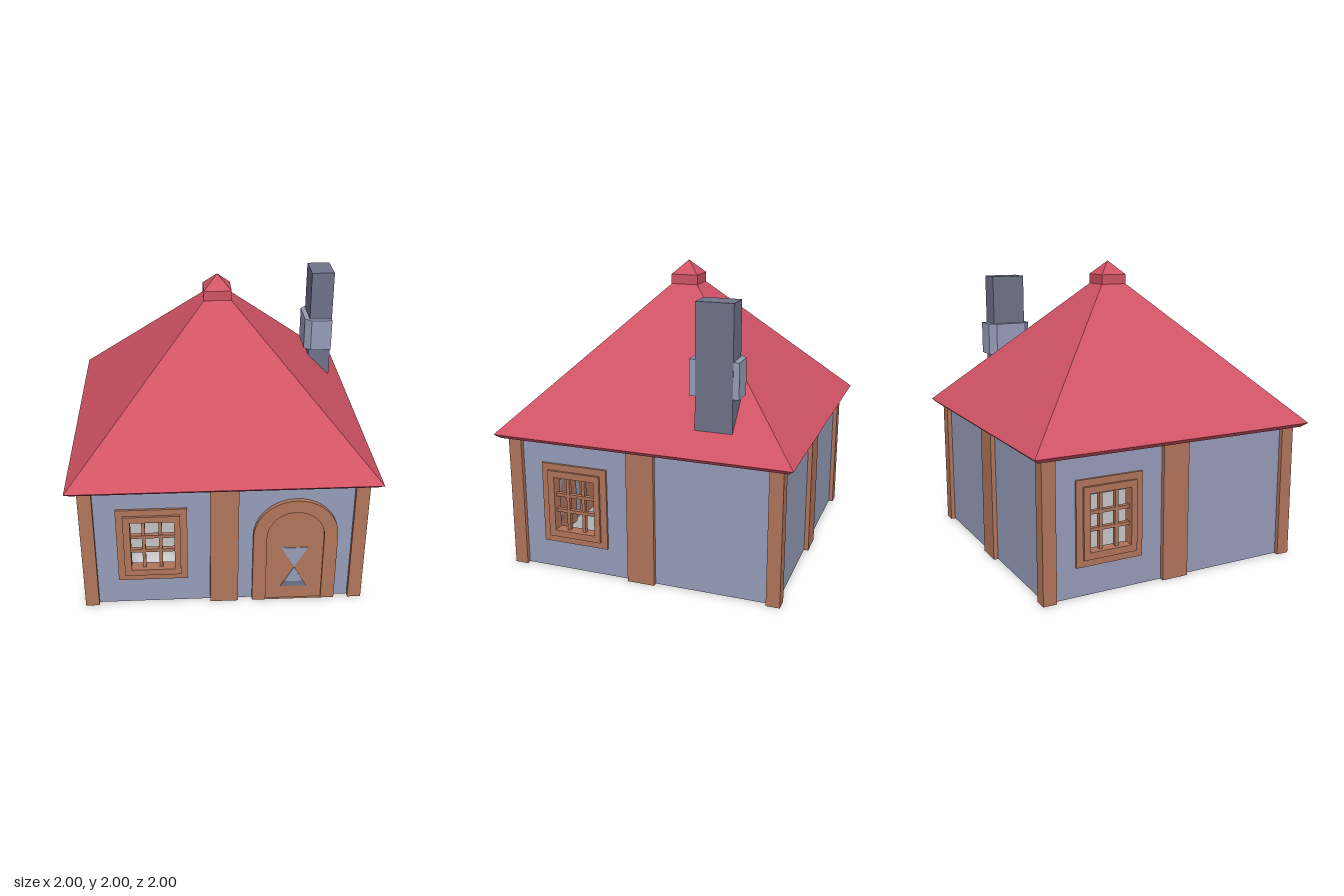
import * as THREE from 'three';

const mat = (name, color, side = THREE.FrontSide) => {
  const m = new THREE.MeshStandardMaterial({ color, side });
  m.name = name;
  return m;
};

export function createModel() {
  const plaster = mat('plaster', 0x959cb8);
  const timber = mat('timber', 0xb0745a, THREE.DoubleSide);
  const tile = mat('roof tile', 0xd05364);
  const stone = mat('dark stone', 0x6f7189);
  const house = new THREE.Group();
  house.name = 'house';

  const add = (parent, name, geo, material) => {
    const mesh = new THREE.Mesh(geo, material);
    mesh.name = name;
    parent.add(mesh);
    return mesh;
  };
  // box given by its limits on each axis
  const box = (parent, name, m, x0, x1, y0, y1, z0, z1) =>
    add(parent, name, new THREE.BoxGeometry(x1 - x0, y1 - y0, z1 - z0), m)
      .position.set((x0 + x1) / 2, (y0 + y1) / 2, (z0 + z1) / 2);
  const poly = (pts, Type = THREE.Shape) => new Type(pts.map(p => new THREE.Vector2(...p)));
  const rect = (x0, x1, y0, y1) => [[x0, y0], [x1, y0], [x1, y1], [x0, y1]];
  // outline with optional hole, extruded from z0 to z1
  const slab = (parent, name, m, outline, hole, z0, z1) => {
    const shape = poly(outline);
    if (hole) shape.holes.push(poly(hole, THREE.Path));
    const geo = new THREE.ExtrudeGeometry(shape, { depth: z1 - z0, bevelEnabled: false });
    return add(parent, name, geo.translate(0, 0, z0), m);
  };
  // flat-shaded skin over square or rectangular rings, [x centre, y centre, half x, half y, z]
  const rings = (list) => {
    const pos = [];
    const corner = ([cx, cy, hx, hy, z], k) =>
      [cx + hx * [-1, 1, 1, -1][k % 4], cy + hy * [-1, -1, 1, 1][k % 4], z];
    for (let i = 0; i + 1 < list.length; i++) {
      for (let k = 0; k < 4; k++) {
        const a = corner(list[i], k), b = corner(list[i], k + 1);
        const c = corner(list[i + 1], k + 1), d = corner(list[i + 1], k);
        pos.push(...a, ...b, ...c, ...a, ...c, ...d);
      }
    }
    const geo = new THREE.BufferGeometry();
    geo.setAttribute('position', new THREE.Float32BufferAttribute(pos, 3));
    geo.computeVertexNormals();
    return geo;
  };

  // window: frames, glazing bars and a splayed inner surround
  const addWindow = (parent) => {
    const w = new THREE.Group();
    w.name = 'window';
    parent.add(w);
    const inner = rect(-0.655, -0.285, 0.24, 0.705);
    slab(w, 'outerFrame', timber, rect(-0.7, -0.24, 0.195, 0.75), inner, 0.85, 0.915);
    slab(w, 'innerFrame', timber, inner, rect(-0.61, -0.325, 0.285, 0.66), 0.85, 0.93);
    for (const x of [-0.525, -0.415]) box(w, 'verticalBar', timber, x - 0.011, x + 0.011, 0.285, 0.66, 0.87, 0.9);
    for (const y of [0.42, 0.53]) box(w, 'crossBar', timber, -0.61, -0.325, y - 0.011, y + 0.011, 0.872, 0.902);
    add(w, 'innerSurround', rings([[-0.47, 0.472, 0.3, 0.35, 0.79], [-0.47, 0.472, 0.23, 0.278, 0.855]]), timber);
  };

  // four walls, each with a middle post and a corner post
  [['front', 0, true], ['left', Math.PI / 2, true], ['back', Math.PI, false], ['right', -Math.PI / 2, true]]
    .forEach(([name, angle, hasWindow]) => {
      const g = new THREE.Group();
      g.name = name + 'Side';
      g.rotation.y = angle;
      house.add(g);
      slab(g, 'wall', plaster, rect(-0.86, 0.86, 0.002, 0.905),
        hasWindow && rect(-0.655, -0.285, 0.24, 0.705), 0.86, 0.9);
      box(g, 'middlePost', timber, -0.093, 0.093, 0, 0.905, 0.84, 0.93);
      box(g, 'cornerPost', timber, 0.84, 0.93, 0, 0.905, 0.84, 0.93);
      if (hasWindow) addWindow(g);
    });

  // arched door with an hourglass panel on both faces
  const door = new THREE.Group();
  door.name = 'door';
  door.position.x = 0.467;
  house.add(door);
  const arch = (r) => {
    const pts = [[-r, 0], [r, 0]];
    for (let i = 0; i <= 20; i++) {
      const a = Math.PI * i / 20;
      pts.push([r * Math.cos(a), 0.517 + r * Math.sin(a)]);
    }
    return pts;
  };
  slab(door, 'doorFrame', timber, arch(0.278), arch(0.188), 0.84, 0.93);
  slab(door, 'doorLeaf', timber, arch(0.188), null, 0.85, 0.915);
  for (const z of [0.846, 0.914]) {
    slab(door, 'hourglassTop', plaster, [[0, 0.26], [0.088, 0.418], [-0.088, 0.418]], null, z, z + 0.005);
    slab(door, 'hourglassBottom', plaster,
      [[-0.06, 0.147], [-0.03, 0.14], [0.03, 0.14], [0.06, 0.147], [0, 0.26]], null, z, z + 0.005);
    slab(door, 'hourglassSand', stone,
      [[-0.088, 0.1], [0.088, 0.1], [0.06, 0.147], [0.03, 0.14], [-0.03, 0.14], [-0.06, 0.147]].map(
        ([x, y]) => [x, y]), null, z, z + 0.005);
  }

  // ceiling, roof with bevelled eaves, and cap
  box(house, 'ceiling', timber, -0.86, 0.86, 0.895, 0.91, -0.86, 0.86);
  const square = (h, y) => [0, 0, h, h, y];
  const roof = (name, list) => add(house, name, rings(list).rotateX(-Math.PI / 2), tile);
  roof('roof', [square(0, 0.905), square(0.965, 0.905), square(1, 0.935), square(0.09, 1.845)]);
  roof('roofCap', [square(0, 1.843), square(0.093, 1.843), square(0.093, 1.908), square(0, 2)]);

  // chimney with a chamfered collar wrapped round three sides
  box(house, 'chimney', stone, 0.7, 0.862, 1.072, 1.87, -0.587, -0.347);
  const collar = [[0.86, 0.31], [0.86, 0.625], [0.71, 0.625], [0.665, 0.58], [0.665, 0.355], [0.71, 0.31]];
  slab(house, 'chimneyCollar', plaster, collar, null, 1.29, 1.52).rotation.x = -Math.PI / 2;

  return house;
}
